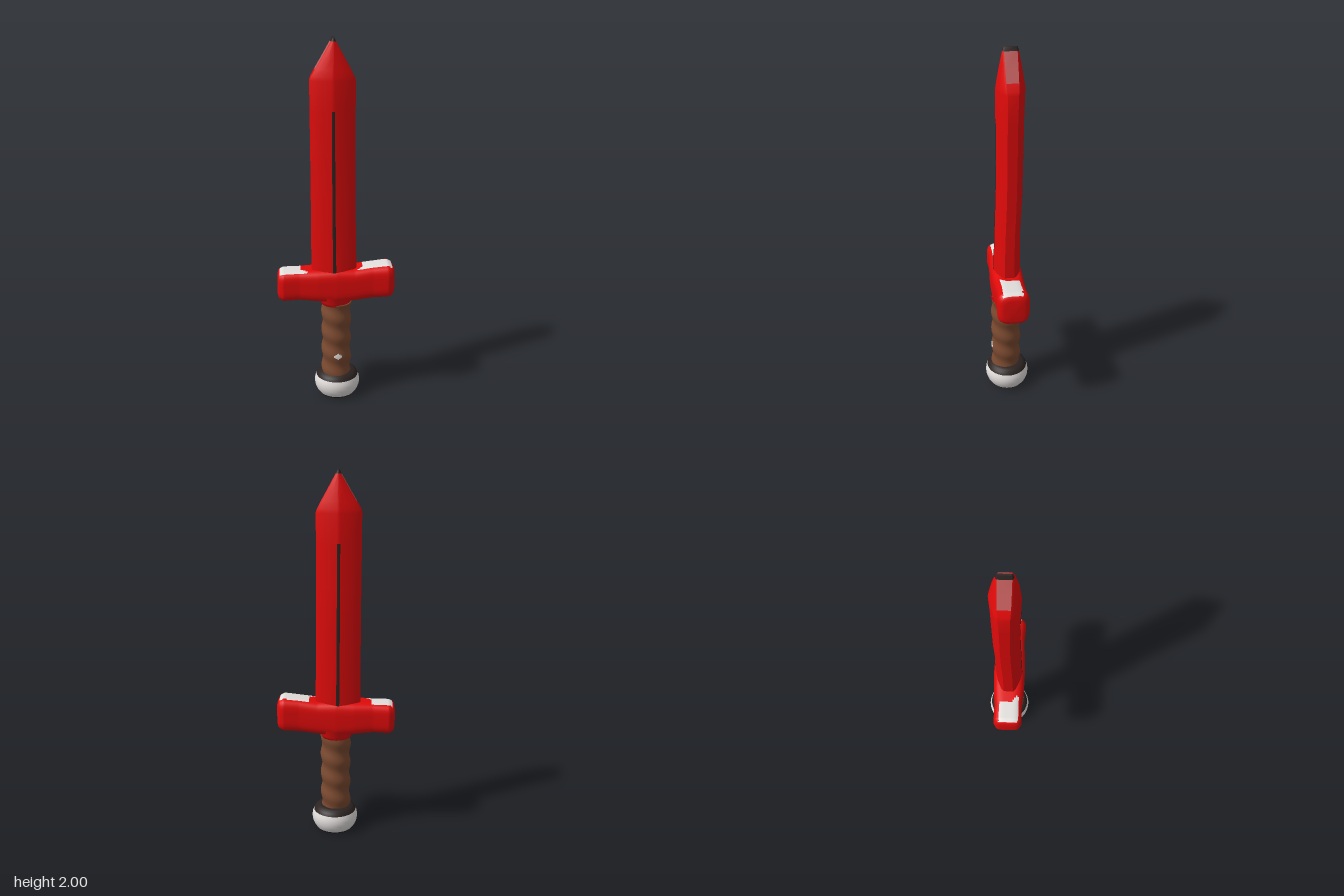
import * as THREE from 'three';
import { toCreasedNormals } from 'three/addons/utils/BufferGeometryUtils.js';

const mat = (name, color) => Object.assign(new THREE.MeshStandardMaterial({ color }), { name });

// Skin closed rings of points, cap both ends; paint(x, y, z) picks the material of each face
function loft(rings, paint = () => 0) {
  const n = rings[0].length, pts = rings.flat(), buckets = [];
  const mid = ring => ring.reduce((s, p) => s.add(p), new THREE.Vector3()).divideScalar(n);
  const start = pts.push(mid(rings[0])) - 1;
  const end = pts.push(mid(rings[rings.length - 1])) - 1;
  const face = (...ids) => {
    const c = new THREE.Vector3();
    ids.forEach(i => c.addScaledVector(pts[i], 1 / ids.length));
    const b = (buckets[paint(c.x, c.y, c.z)] ??= []);
    for (let k = 2; k < ids.length; k++) b.push(ids[0], ids[k - 1], ids[k]);
  };
  const last = (rings.length - 1) * n;
  for (let j = 0; j < n; j++) {
    const k = (j + 1) % n;
    for (let i = 0; i < last; i += n) face(i + j, i + k, i + n + k, i + n + j);
    face(start, k, j);
    face(end, last + j, last + k);
  }
  const geo = new THREE.BufferGeometry().setFromPoints(pts);
  const index = [];
  buckets.forEach((b, m) => {
    geo.addGroup(index.length, b.length, m);
    index.push(...b);
  });
  geo.setIndex(index);
  geo.computeVertexNormals();
  return geo;
}

// Linear interpolation in a table of rows keyed by their first number
function sample(rows, t) {
  let i = 0;
  while (i < rows.length - 2 && t > rows[i + 1][0]) i++;
  const [a, b] = [rows[i], rows[i + 1]];
  const f = (t - a[0]) / (b[0] - a[0]);
  return a.map((v, k) => v + (b[k] - v) * f);
}

// Blade cross-section: ridged front and back, flat narrow edges
function bladeRing([y, cx, hx, cz, hz, s]) {
  const q = [[0, 1], [0.07, 1 - 0.03 * (1 - s)], [0.45, 1 - 0.23 * (1 - s)], [0.88, 1 - 0.7 * (1 - s)], [1, s]];
  const half = [...q, ...q.map(([x, z]) => [x, -z]).reverse()];
  const all = [...half, ...half.slice(1, -1).map(([x, z]) => [-x, z]).reverse()];
  return all.map(([x, z]) => new THREE.Vector3(cx + x * hx, y, cz + z * hz));
}

export function createModel() {
  const red = mat('red', 0xe00a0a), dark = mat('charcoal', 0x2b2321), white = mat('offWhite', 0xe2dedc);
  const brown = mat('brown', 0x7c4a30), rose = mat('dustyRose', 0xc05c5c);
  const group = new THREE.Group();
  const add = (name, geo, material) => {
    const mesh = new THREE.Mesh(geo, material);
    mesh.name = name;
    group.add(mesh);
    return mesh;
  };

  // Blade: y, centre x, half width, centre z, half depth, edge flatness
  const blade = [
    [0.74, -0.01, 0.122, 0, 0.075, 0.35],
    [0.8, -0.01, 0.122, -0.002, 0.074, 0.35],
    [1.0, -0.012, 0.119, -0.005, 0.071, 0.35],
    [1.2, -0.013, 0.118, -0.013, 0.072, 0.35],
    [1.4, -0.014, 0.117, -0.017, 0.071, 0.35],
    [1.64, -0.015, 0.117, -0.018, 0.073, 0.35],
    [1.79, -0.015, 0.117, -0.02, 0.075, 0.36],
    [1.81, -0.015, 0.11, -0.02, 0.073, 0.4],
    [1.845, -0.014, 0.091, -0.02, 0.067, 0.46],
    [1.9, -0.013, 0.059, -0.02, 0.057, 0.56],
    [1.98, -0.012, 0.014, -0.02, 0.041, 0.8],
    [2.0, -0.012, 0.004, -0.02, 0.034, 0.8],
  ];
  const bladePaint = (x, y, z) => {
    if (y > 1.982) return 1;                                    // tip edge
    if (y > 1.845 && Math.abs(z + 0.02) < 0.012) return 2;      // bevel patches
    return y < 1.64 && Math.abs(x + 0.013) < 0.009 ? 1 : 0;     // centre line
  };
  add('blade', toCreasedNormals(loft(blade.map(bladeRing), bladePaint), 0.5), [red, dark, rose]);

  // Crossguard: x, bottom y, top y, half depth
  const guard = [
    [-0.32, 0.635, 0.735, 0.045],
    [-0.314, 0.613, 0.757, 0.064],
    [-0.29, 0.6, 0.769, 0.08],
    [-0.2, 0.604, 0.771, 0.077],
    [-0.1, 0.594, 0.776, 0.086],
    [0, 0.58, 0.782, 0.089],
    [0.1, 0.594, 0.777, 0.085],
    [0.2, 0.606, 0.79, 0.081],
    [0.285, 0.61, 0.799, 0.087],
    [0.311, 0.62, 0.787, 0.074],
    [0.32, 0.64, 0.765, 0.052],
  ];
  const guardRings = [];
  for (let i = 0; i <= 100; i++) {
    const [x, y0, y1, hz] = sample(guard, -0.32 + 0.0064 * i);
    guardRings.push(Array.from({ length: 64 }, (_, j) => {
      const a = (j / 64) * Math.PI * 2, c = Math.cos(a), s = Math.sin(a);
      const r = (c ** 4 + s ** 4) ** -0.25;
      return new THREE.Vector3(x, (y0 + y1) / 2 + (r * c * (y1 - y0)) / 2, r * s * hz);
    }));
  }
  const guardPaint = (x, y, z) => {
    const slant = Math.max(0, z - 0.015);
    const onTop = y > 0.735 && z > -0.05 && z < 0.056 && Math.abs(x) < 0.306;
    return onTop && (x < -0.195 + slant * 1.25 || x > 0.15 - slant * 0.95) ? 1 : 0;
  };
  add('crossguard', loft(guardRings, guardPaint), [red, white]);

  // Collar under the guard
  const collar = [[0.07, 0.565], [0.083, 0.568], [0.087, 0.585], [0.1, 0.625]];
  add('collar', new THREE.LatheGeometry(collar.map(p => new THREE.Vector2(...p)), 40), red);

  // Grip with slanted wrap ridges and one pale fleck on the front
  const gripRings = [];
  for (let i = 0; i <= 70; i++) {
    const y = 0.13 + (0.45 * i) / 70;
    gripRings.push(Array.from({ length: 56 }, (_, j) => {
      const a = (j / 56) * Math.PI * 2;
      const r = 0.08 + 0.0045 * Math.sin((y * Math.PI * 2) / 0.115 + a);
      return new THREE.Vector3(0.003 + r * Math.sin(a), y, 0.005 + r * Math.cos(a));
    }));
  }
  const gripPaint = (x, y, z) => (z > 0 && Math.hypot((x - 0.008) / 0.021, (y - 0.265) / 0.017) < 1 ? 1 : 0);
  add('grip', loft(gripRings, gripPaint), [brown, white]);

  // Pommel: dark base, pale band, dark shoulder
  const pommel = [
    ['pommelBase', dark, [[0, 0], [0.085, 0], [0.096, 0.004], [0.104, 0.014]]],
    ['pommelBand', white, [[0.104, 0.014], [0.117, 0.033], [0.126, 0.057], [0.128, 0.08], [0.125, 0.1], [0.118, 0.117]]],
    ['pommelShoulder', dark, [[0.118, 0.117], [0.11, 0.132], [0.098, 0.142], [0.082, 0.147], [0.06, 0.148]]],
  ];
  for (const [name, material, profile] of pommel) {
    const mesh = add(name, new THREE.LatheGeometry(profile.map(p => new THREE.Vector2(...p)), 48), material);
    mesh.position.x = 0.008;
    mesh.scale.z = 0.965;
  }
  return group;
}
